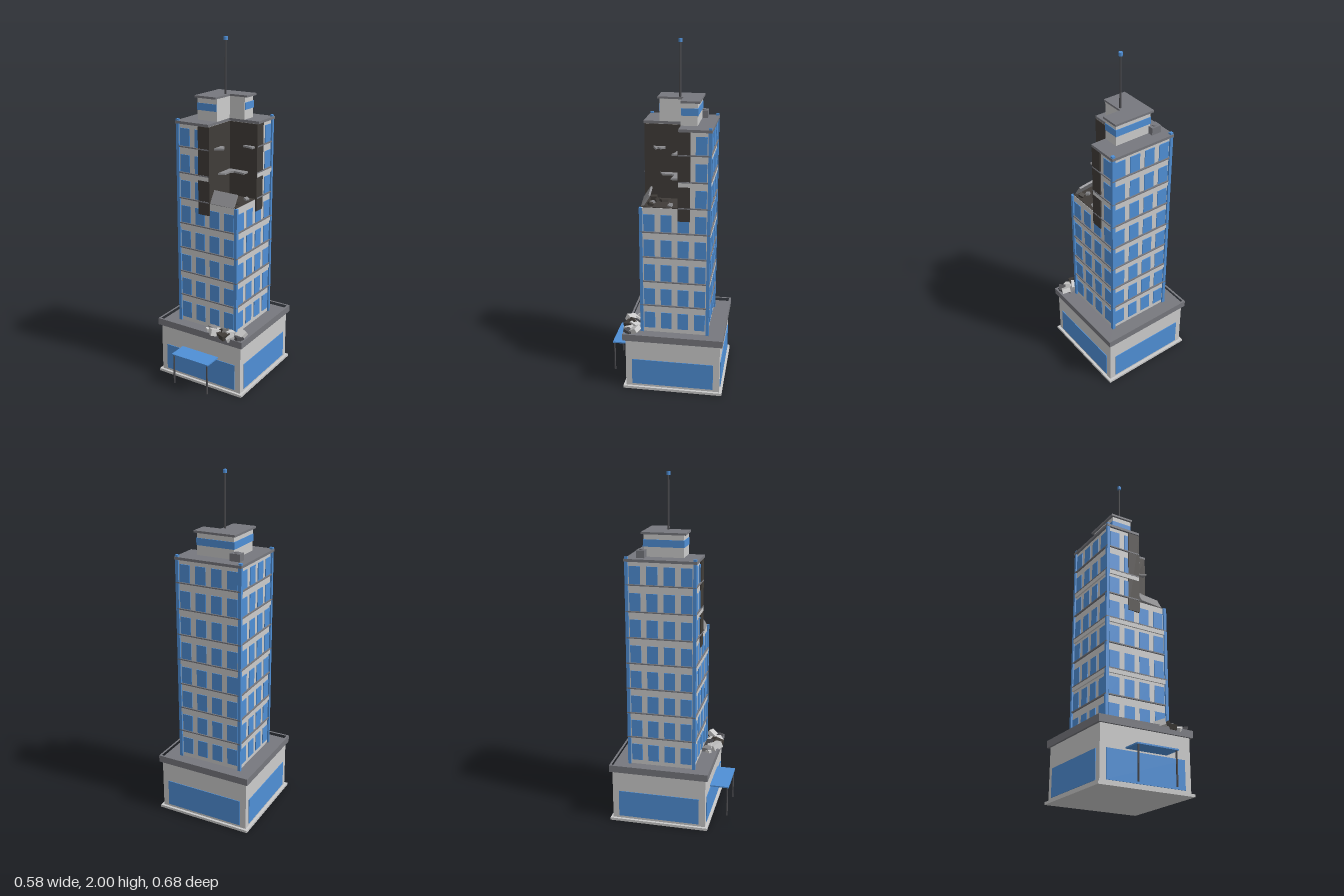
import * as THREE from 'three';

const mat = (color, extra = {}) => new THREE.MeshStandardMaterial({ color, flatShading: true, ...extra });
const WALL = mat(0xcccccc), ROOF = mat(0x77787e), GLASS = mat(0x4f8fd6);
const DARK = mat(0x403c38), METAL = mat(0x4c4c50), RUBBLE = mat(0x8c8c8f);

const CZ = -0.05;                 // tower axis in z
const CUT = { x: 0.015, z: -0.07, y: 1.1 }; // collapsed front corner
const HALF = 0.19;

export function createModel() {
  const root = new THREE.Group();
  root.name = 'damagedTower';

  const add = (parent, name, geo, material, x = 0, y = 0, z = 0) => {
    const m = new THREE.Mesh(geo, material);
    m.name = name;
    m.position.set(x, y, z);
    parent.add(m);
    return m;
  };
  // box given by its limits
  const block = (parent, name, material, x0, x1, y0, y1, z0, z1) =>
    add(parent, name, new THREE.BoxGeometry(x1 - x0, y1 - y0, z1 - z0), material,
      (x0 + x1) / 2, (y0 + y1) / 2, (z0 + z1) / 2);
  // upright prism over a plan outline of [x, z] points
  const prism = (parent, name, material, pts, y0, y1, hole) => {
    const v = (p) => p.map(([x, z]) => new THREE.Vector2(x, -z));
    const s = new THREE.Shape(v(pts));
    if (hole) s.holes.push(new THREE.Path(v(hole)));
    const g = new THREE.ExtrudeGeometry(s, { depth: y1 - y0, bevelEnabled: false });
    g.rotateX(-Math.PI / 2);
    return add(parent, name, g, material, 0, y0, 0);
  };
  const square = (h) => [[-h, CZ - h], [h, CZ - h], [h, CZ + h], [-h, CZ + h]];
  // square with the collapsed corner taken out
  const notched = (h) => [[-h, CZ - h], [h, CZ - h], [h, CUT.z], [CUT.x, CUT.z], [CUT.x, CZ + h], [-h, CZ + h]];
  const group = (name) => {
    const g = new THREE.Group();
    g.name = name;
    root.add(g);
    return g;
  };

  // podium
  const podium = group('podium');
  prism(podium, 'plinth', WALL, square(0.29), 0, 0.015);
  prism(podium, 'podiumWalls', WALL, square(0.275), 0.015, 0.315);
  prism(podium, 'podiumRoof', ROOF, square(0.28), 0.315, 0.335);
  prism(podium, 'parapet', ROOF, square(0.29), 0.314, 0.355, square(0.278));
  for (let i = 0; i < 4; i++) {
    const a = i * Math.PI / 2;
    const g = add(podium, 'shopWindow', new THREE.BoxGeometry(0.476, 0.16, 0.006), GLASS,
      Math.sin(a) * 0.276, 0.11, CZ + Math.cos(a) * 0.276);
    g.rotation.y = a;
  }

  // entrance canopy
  const canopy = group('entranceCanopy');
  block(canopy, 'canopyRoof', GLASS, -0.125, 0.125, 0.2, 0.208, 0.22, 0.337);
  for (const s of [-1, 1])
    add(canopy, 'canopyPost', new THREE.CylinderGeometry(0.005, 0.005, 0.185, 8), METAL, s * 0.115, 0.1075, 0.328);

  // tower shaft
  const tower = group('tower');
  prism(tower, 'lowerShaft', WALL, square(HALF), 0.33, CUT.y);
  prism(tower, 'upperShaft', WALL, notched(HALF), CUT.y, 1.535);
  prism(tower, 'roofSlab', ROOF, notched(0.203), 1.535, 1.55);
  for (const sx of [-1, 1]) for (const sz of [-1, 1]) {
    const top = sx > 0 && sz > 0 ? CUT.y : 1.56;
    const x = sx * 0.191, z = CZ + sz * 0.191;
    block(tower, 'cornerColumn', GLASS, x - 0.009, x + 0.009, 0.335, top, z - 0.009, z + 0.009);
  }

  // windows, sills and belts, floor by floor
  const facade = group('facade');
  for (let f = 0; f < 8; f++) {
    const y = 0.36 + f * 0.15;
    const broken = f >= 5;
    const plan = (h) => (broken ? notched(h) : square(h));
    if (f > 0) prism(facade, 'sill', ROOF, plan(HALF + 0.01), y - 0.007, y);
    if (f > 0 && f % 2 === 0) prism(facade, 'belt', WALL, plan(HALF + 0.009), y - 0.031, y - 0.007);
    for (let side = 0; side < 4; side++) for (let c = 0; c < 4; c++) {
      const a = side * Math.PI / 2, u = (c - 1.5) * 0.0967;
      const x = Math.sin(a) * HALF + Math.cos(a) * u;
      const z = CZ + Math.cos(a) * HALF - Math.sin(a) * u;
      if (broken && x > CUT.x && z > CUT.z) continue;
      const w = add(facade, 'window', new THREE.BoxGeometry(0.063, 0.1, 0.008), GLASS, x, y + 0.051, z);
      w.rotation.y = a;
    }
  }

  // scorched faces beside and inside the collapse
  const damage = group('collapsedCorner');
  block(damage, 'scorchedFront', DARK, -0.055, CUT.x + 0.004, 1.03, 1.533, 0.13, 0.148);
  block(damage, 'scorchedSide', DARK, 0.18, 0.198, 1.03, 1.533, -0.135, CUT.z + 0.004);
  block(damage, 'innerSideWall', DARK, CUT.x - 0.002, CUT.x + 0.004, CUT.y, 1.534, CUT.z, 0.147);
  block(damage, 'innerBackWall', DARK, CUT.x, 0.197, CUT.y, 1.534, CUT.z - 0.002, CUT.z + 0.004);
  block(damage, 'exposedFloor', DARK, CUT.x, 0.188, CUT.y - 0.005, CUT.y + 0.004, CUT.z, 0.138);
  // torn floor remnants
  const remnants = [
    [1.405, [[0.015, 0.03], [0.04, 0.025], [0.055, 0.05], [0.045, 0.07], [0.07, 0.075], [0.015, 0.1]]],
    [1.405, [[0.115, -0.07], [0.185, -0.07], [0.185, -0.03], [0.15, -0.045], [0.115, -0.05]]],
    [1.255, [[0.015, -0.07], [0.14, -0.07], [0.14, -0.02], [0.07, -0.03], [0.055, -0.01], [0.055, 0.04], [0.015, 0.06]]],
  ];
  for (const [y, pts] of remnants) prism(damage, 'tornFloor', RUBBLE, pts, y - 0.006, y + 0.004);
  // fallen slab leaning on the broken edge
  const slab = add(damage, 'fallenSlab', new THREE.BoxGeometry(0.145, 0.012, 0.08), RUBBLE, 0.1, 1.135, 0.122);
  slab.rotation.set(1.0, 0, -0.1);

  // rubble chunks, placed as [x, y, z, size]
  let seed = 7;
  const rnd = () => (seed = (seed * 16807) % 2147483647) / 2147483647;
  const chunk = (name, material, [x, y, z, s]) => {
    const m = add(damage, name, new THREE.BoxGeometry(s, s * (0.35 + 0.3 * rnd()), s * (0.7 + 0.3 * rnd())), material, x, y, z);
    m.rotation.set((rnd() - 0.5) * 0.9, rnd() * 3, (rnd() - 0.5) * 0.9);
  };
  const upper = [[0.085, 1.112, 0.03, 0.04], [0.08, 1.112, 0.065, 0.03], [0.125, 1.112, 0.085, 0.024],
    [0.165, 1.115, 0.09, 0.028], [0.05, 1.115, 0.09, 0.035], [0.16, 1.11, -0.02, 0.025]];
  upper.forEach((c, i) => chunk('innerRubble', i % 3 === 2 ? RUBBLE : DARK, c));
  const lower = [[0.035, 0.348, 0.185, 0.03], [0.06, 0.355, 0.17, 0.05], [0.1, 0.358, 0.215, 0.065],
    [0.125, 0.352, 0.175, 0.06], [0.155, 0.358, 0.22, 0.065], [0.175, 0.365, 0.185, 0.055],
    [0.205, 0.355, 0.22, 0.05], [0.22, 0.352, 0.18, 0.045], [0.25, 0.368, 0.175, 0.055],
    [0.255, 0.36, 0.21, 0.045], [0.15, 0.372, 0.2, 0.04], [0.085, 0.36, 0.185, 0.04]];
  lower.forEach((c, i) => chunk('fallenRubble', [WALL, RUBBLE, WALL, METAL, DARK, WALL][i % 6], c));

  // penthouse with its window band
  const pent = group('penthouse');
  prism(pent, 'penthouseWalls', WALL, notched(0.112), 1.55, 1.675);
  prism(pent, 'penthouseRoof', ROOF, notched(0.125), 1.674, 1.686);
  const d = 0.115;
  block(pent, 'windowBandFront', GLASS, -d, 0.012, 1.605, 1.645, CZ + 0.108, CZ + d);
  block(pent, 'windowBandBack', GLASS, -d, d, 1.605, 1.645, CZ - d, CZ - 0.108);
  block(pent, 'windowBandRight', GLASS, -d, -0.108, 1.605, 1.645, CZ - d, CZ + d);
  block(pent, 'windowBandLeft', GLASS, 0.108, d, 1.605, 1.645, CZ - d, CUT.z - 0.002);

  // rooftop equipment
  const roofGear = group('rooftopEquipment');
  block(roofGear, 'coolingUnit', ROOF, -0.162, -0.102, 1.55, 1.592, -0.193, -0.147);
  add(roofGear, 'coolingFan', new THREE.CylinderGeometry(0.014, 0.014, 0.006, 16), ROOF, -0.132, 1.594, -0.17);
  add(roofGear, 'antennaMast', new THREE.CylinderGeometry(0.005, 0.006, 0.3, 8), METAL, 0, 1.835, CZ);
  add(roofGear, 'antennaLight', new THREE.CylinderGeometry(0.011, 0.011, 0.02, 12), GLASS, 0, 1.99, CZ);

  return root;
}
